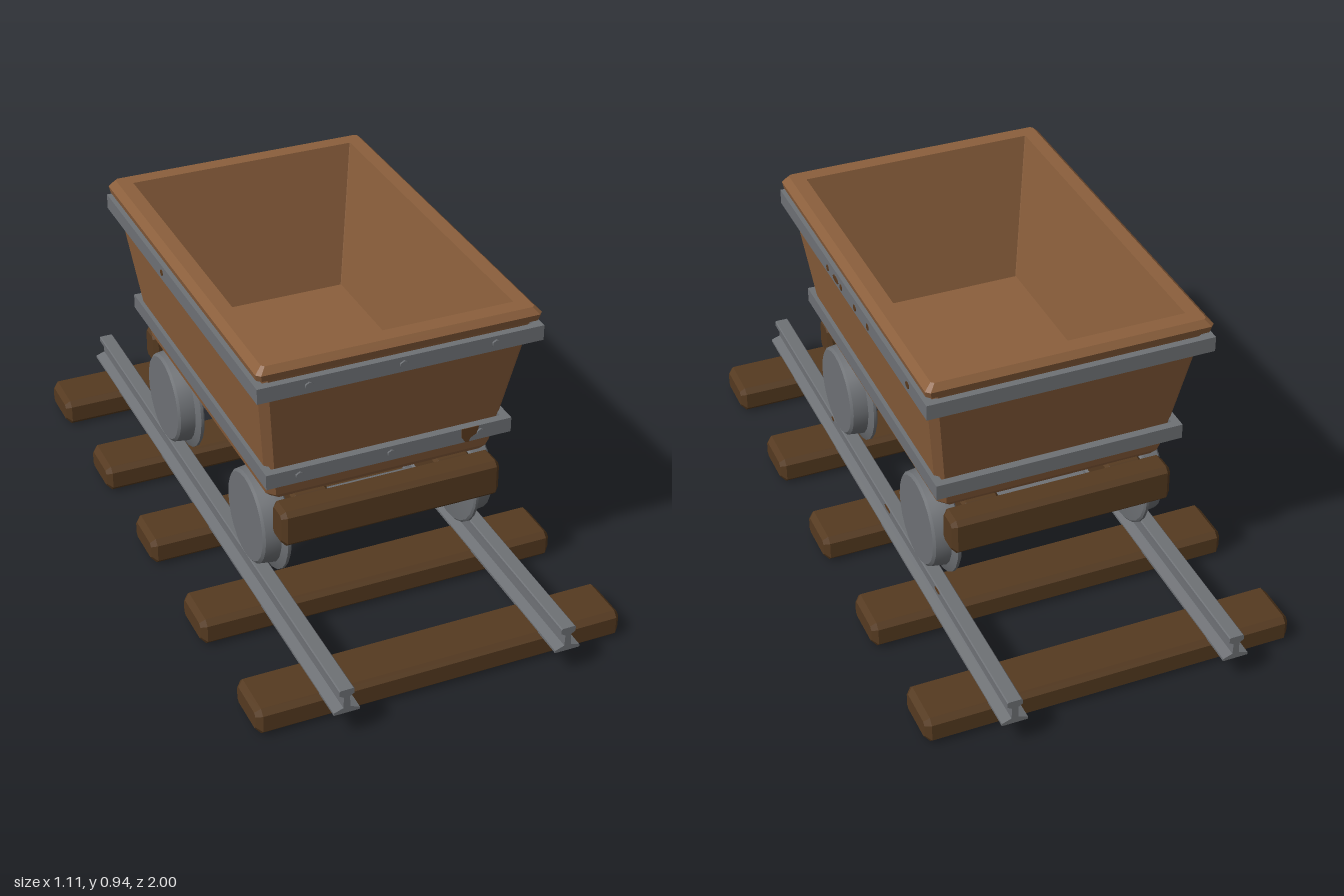
import * as THREE from 'three';
import { toCreasedNormals } from 'three/addons/utils/BufferGeometryUtils.js';

const mat = (name, color) => Object.assign(new THREE.MeshStandardMaterial({ color }), { name });

// Corner-cut rectangle, counter-clockwise seen from above
function ring([y, hx, hz, c]) {
  return [[hx, hz - c], [hx, c - hz], [hx - c, -hz], [c - hx, -hz],
    [-hx, c - hz], [-hx, hz - c], [c - hx, hz], [hx - c, hz]].map(([x, z]) => [x, y, z]);
}

// Closed flat-shaded skin through a stack of rings
function loft(sections) {
  const rings = sections.map(ring), pos = [];
  const tri = (...p) => p.forEach(v => pos.push(...v));
  for (let k = 0; k < rings.length - 1; k++) {
    const a = rings[k], b = rings[k + 1];
    for (let i = 0; i < 8; i++) {
      const j = (i + 1) % 8;
      tri(a[i], a[j], b[j]);
      tri(a[i], b[j], b[i]);
    }
  }
  const first = rings[0], last = rings[rings.length - 1];
  for (let i = 1; i < 7; i++) {
    tri(first[0], first[i + 1], first[i]);
    tri(last[0], last[i], last[i + 1]);
  }
  const g = new THREE.BufferGeometry();
  g.setAttribute('position', new THREE.Float32BufferAttribute(pos, 3));
  g.computeVertexNormals();
  return g;
}

// Bevelled beam along y: half length, half sizes, bevel
const beam = (L, hx, hz, b) => loft([
  [-L, hx - b, hz - b, b * 0.6], [b - L, hx, hz, b], [L - b, hx, hz, b], [L, hx - b, hz - b, b * 0.6]]);
const beamX = (L, hy, hz, b) => beam(L, hy, hz, b).rotateZ(-Math.PI / 2);
const beamZ = (L, hx, hy, b) => beam(L, hx, hy, b).rotateX(Math.PI / 2);

export function createModel() {
  const wood = mat('bucket wood', 0x8b5f3c);
  const darkWood = mat('dark wood', 0x553a20);
  const steel = mat('steel', 0x6e7175);
  const rust = mat('rust', 0x5a3a1e);
  const root = new THREE.Group();
  root.name = 'mineCart';
  const add = (name, geo, m, x = 0, y = 0, z = 0) => {
    const mesh = new THREE.Mesh(geo, m);
    mesh.name = name;
    mesh.position.set(x, y, z);
    root.add(mesh);
    return mesh;
  };

  // Track: sleepers and I-section rails
  const tie = beamX(0.555, 0.0425, 0.083, 0.016);
  for (let i = -2; i <= 2; i++) add('sleeper', tie, darkWood, 0, 0.0425, i * 0.4165);

  const half = [[0.038, 0.082], [0.038, 0.09], [0.01, 0.1], [0.009, 0.135], [0.022, 0.143], [0.022, 0.157], [0.019, 0.16]];
  const outline = [...half, ...half.slice().reverse().map(([x, y]) => [-x, y])];
  const railGeo = new THREE.ExtrudeGeometry(
    new THREE.Shape(outline.map(p => new THREE.Vector2(...p))), { depth: 2, bevelEnabled: false });
  railGeo.translate(0, 0, -1);
  for (const s of [-1, 1]) add('rail', railGeo, steel, s * 0.333);

  // Wheels with an inner flange, axles and axle boxes
  const profile = [[0, 0.272], [0.05, 0.272], [0.164, 0.285], [0.17, 0.29], [0.17, 0.298], [0.146, 0.308],
    [0.14, 0.353], [0.132, 0.36], [0, 0.36]].map(p => new THREE.Vector2(...p));
  const wheelGeo = toCreasedNormals(new THREE.LatheGeometry(profile, 24).rotateZ(-Math.PI / 2), 0.5);
  const axleGeo = toCreasedNormals(new THREE.CylinderGeometry(0.028, 0.028, 0.56, 12).rotateZ(Math.PI / 2), 0.6);
  const boxGeo = beamX(0.057, 0.045, 0.05, 0.01);
  for (const z of [0.345, -0.342]) {
    add('axle', axleGeo, steel, 0, 0.298, z);
    for (const s of [-1, 1]) {
      add('wheel', wheelGeo, steel, 0, 0.3, z).rotation.y = s > 0 ? 0 : Math.PI;
      add('axleBox', boxGeo, steel, s * 0.218, 0.298, z);
    }
  }

  // Wooden underframe
  for (const s of [-1, 1]) {
    add('endBeam', beamX(0.335, 0.057, 0.044, 0.014), darkWood, 0, 0.383, s * 0.525);
    add('sill', beamZ(0.5, 0.055, 0.053, 0.01), darkWood, s * 0.22, 0.387, 0);
  }

  // Bucket: outside, lip, inside and floor in one skin
  add('bucket', loft([
    [0.438, 0.33, 0.478, 0.02], [0.455, 0.345, 0.49, 0.022], [0.9, 0.407, 0.59, 0.024],
    [0.905, 0.416, 0.601, 0.012], [0.925, 0.42, 0.606, 0.012], [0.945, 0.4, 0.592, 0.008],
    [0.945, 0.357, 0.545, 0.002], [0.5, 0.29, 0.455, 0.002]]), wood);

  // Steel straps round the bucket, with bolts on the front
  const boltGeo = new THREE.CylinderGeometry(0.013, 0.013, 0.012, 6).rotateX(Math.PI / 2);
  for (const [y, hx, hz] of [[0.867, 0.422, 0.609], [0.542, 0.373, 0.543]]) {
    const t = 0.024;
    for (const s of [-1, 1]) {
      add('strapEnd', new THREE.BoxGeometry(hx * 2, 0.046, t), steel, 0, y, s * (hz - t / 2));
      add('strapSide', new THREE.BoxGeometry(t, 0.046, (hz - t) * 2), steel, s * (hx - t / 2), y, 0);
    }
    for (const x of [-0.275, 0, 0.275]) add('bolt', boltGeo, steel, x, y, hz);
  }

  // Rust patches as thin plates
  const patch = new THREE.Shape([[-0.027, 0.023], [0.027, 0.023], [0.022, 0], [0.002, -0.01], [-0.004, -0.023],
    [-0.014, -0.022], [-0.026, -0.004]].map(p => new THREE.Vector2(...p)));
  const patchGeo = new THREE.ExtrudeGeometry(patch, { depth: 0.002, bevelEnabled: false });
  add('rustPatch', patchGeo, rust, 0.243, 0.542, 0.543);
  const flake = new THREE.CylinderGeometry(1, 1, 0.003, 7).rotateZ(Math.PI / 2);
  const flakes = [[0.422, 0.862, 0.175, 0.01], [0.422, 0.864, 0.105, 0.024], [0.422, 0.862, 0.06, 0.009],
    [0.422, 0.862, -0.055, 0.011], [0.422, 0.862, -0.16, 0.01], [0.422, 0.868, -0.47, 0.014],
    [-0.422, 0.867, -0.12, 0.01], [0.355, 0.15, -0.085, 0.024], [0.355, 0.15, -0.49, 0.018], [0.355, 0.15, 0.41, 0.012]];
  for (const [x, y, z, r] of flakes) {
    add('rustFlake', flake, rust, x, y, z).scale.set(1, y < 0.2 ? 0.006 : 0.01, r);
  }
  return root;
}
